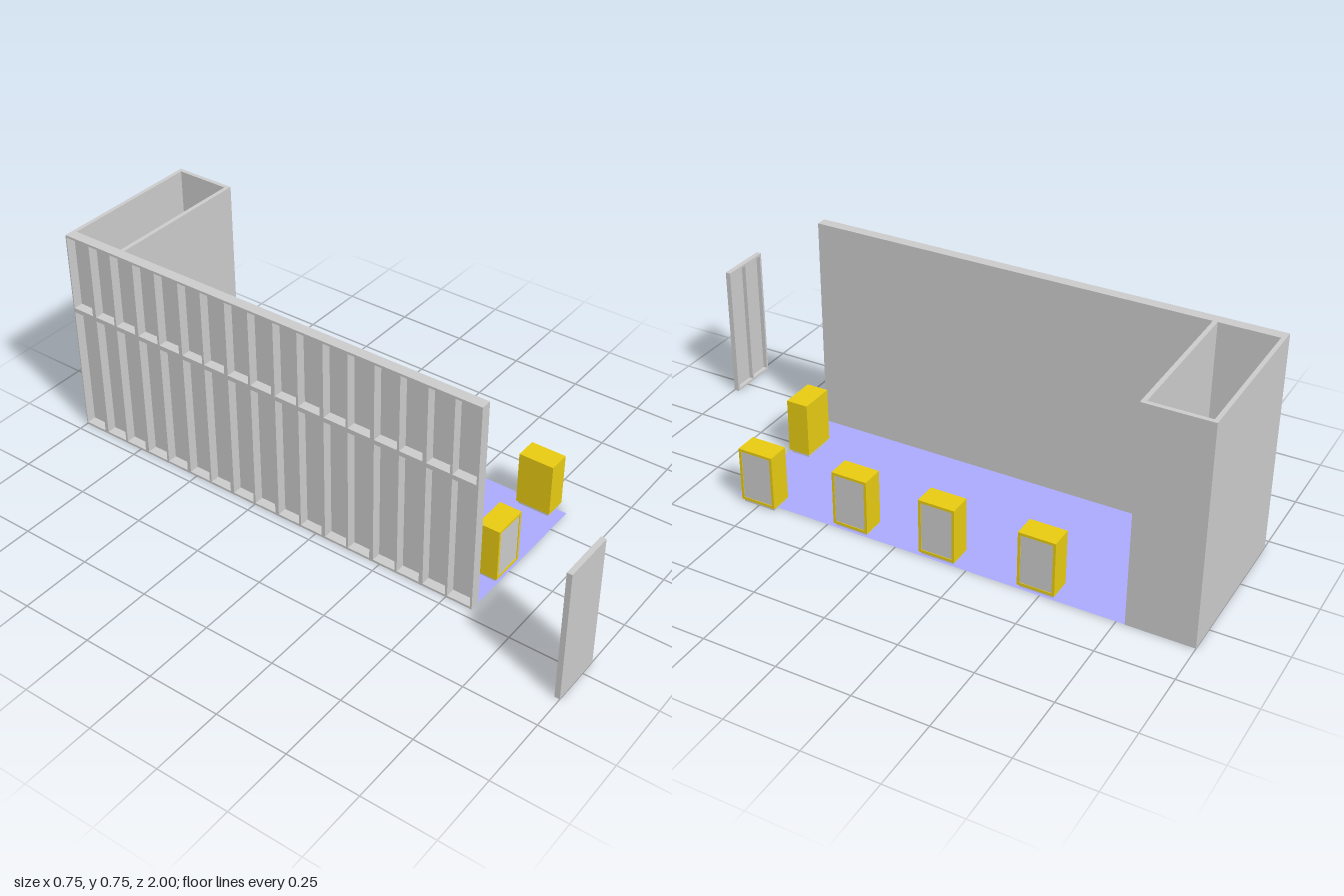
import * as THREE from 'three';

const grey = new THREE.MeshStandardMaterial({ color: 0xcccccc });
const yellow = new THREE.MeshStandardMaterial({ color: 0xe8cc12 });
const blue = new THREE.MeshStandardMaterial({ color: 0xaaaaff, side: THREE.DoubleSide });

// Box given by its limits along each axis
function block(parent, name, [x0, x1], [y0, y1], [z0, z1], material = grey) {
  const mesh = new THREE.Mesh(new THREE.BoxGeometry(x1 - x0, y1 - y0, z1 - z0), material);
  mesh.position.set((x0 + x1) / 2, (y0 + y1) / 2, (z0 + z1) / 2);
  mesh.name = name;
  parent.add(mesh);
  return mesh;
}

function group(parent, name) {
  const g = new THREE.Group();
  g.name = name;
  parent.add(g);
  return g;
}

// Cabinet centred on its footprint, glazed face towards +z
function cabinet(parent, x, z, turn) {
  const g = group(parent, 'cabinet');
  const w = 0.0625, d = 0.039, t = 0.009, y0 = 0.012, y1 = 0.203;
  block(g, 'plinth', [-w + 0.005, w - 0.005], [0, y0], [-d + 0.004, d - 0.007]);
  for (const s of [-1, 1]) {
    const xs = s < 0 ? [-w, -w + t] : [w - t, w];
    block(g, 'side', xs, [y0, y1], [-d, d], yellow);
  }
  block(g, 'bottom', [-w + t, w - t], [y0, y0 + t], [-d, d], yellow);
  block(g, 'top', [-w + t, w - t], [y1 - t, y1], [-d, d], yellow);
  block(g, 'back', [-w + t, w - t], [y0 + t, y1 - t], [-d, -d + 0.004], yellow);
  block(g, 'frontPanel', [-w + t, w - t], [y0 + t, y1 - t], [d - 0.006, d - 0.002]);
  g.position.set(x, 0, z);
  g.rotation.y = turn;
}

export function createModel() {
  const model = new THREE.Group();
  model.name = 'exhibitionRoom';
  const H = 0.755, zBack = -1, zFront = 0.595;

  // Floor sheet
  const floor = new THREE.Mesh(new THREE.PlaneGeometry(0.527, zFront - zBack), blue);
  floor.rotation.x = -Math.PI / 2;
  floor.position.set(0.0845, 0.001, (zFront + zBack) / 2);
  floor.name = 'floor';
  model.add(floor);

  // Long wall: inner sheet with studs and rails on the outside
  const wall = group(model, 'studWall');
  const depth = [-0.215, -0.181];
  block(wall, 'sheet', [-0.181, -0.178], [0, H], [zBack, zFront]);
  const bays = 17, step = (zFront - zBack) / bays;
  for (let i = 0; i <= bays; i++) {
    const half = i % 2 ? 0.004 : 0.007;
    const z = zFront - i * step;
    block(wall, 'stud', depth, [0, H], [Math.max(zBack, z - half), Math.min(zFront, z + half)]);
  }
  for (const [y0, y1] of [[0, 0.008], [0.462, 0.478], [H - 0.008, H]]) {
    block(wall, 'rail', [-0.2148, -0.181], [y0, y1], [zBack, zFront]);
  }

  // Back room: open-topped, with a doorway in its front wall
  const room = group(model, 'backRoom');
  block(room, 'backWall', [-0.178, 0.348], [0, H], [zBack, -0.986]);
  block(room, 'sideWall', [0.333, 0.348], [0, H], [-0.986, -0.793]);
  const face = new THREE.Shape();
  [[-0.178, 0], [0.023, 0], [0.023, 0.378], [0.162, 0.378], [0.162, 0], [0.348, 0], [0.348, H], [-0.178, H]]
    .forEach(([x, y], i) => (i ? face.lineTo(x, y) : face.moveTo(x, y)));
  const front = new THREE.Mesh(new THREE.ExtrudeGeometry(face, { depth: 0.015, bevelEnabled: false }), grey);
  front.position.z = -0.793;
  front.name = 'doorwayWall';
  room.add(front);

  // Door ajar, hinged on the right-hand side of the doorway
  const hinge = group(model, 'door');
  hinge.position.set(0.023, 0, -0.778);
  hinge.rotation.y = -0.27;
  block(hinge, 'doorLeaf', [0, 0.138], [0.005, 0.377], [0, 0.005]);

  // Cabinets: a row along the open side and one at the front edge
  for (const [x, z] of [[0.306, -0.485], [0.306, -0.145], [0.306, 0.166], [0.336, 0.497]]) {
    cabinet(model, x, z, Math.PI / 2);
  }
  cabinet(model, -0.0075, 0.553, 0);

  // Single wall panel standing apart, framed on its back
  const panel = group(model, 'loosePanel');
  const px0 = -0.378, px1 = -0.193, ph = 0.471, pz = [0.982, 0.997];
  block(panel, 'sheet', [px0, px1], [0, ph], [0.997, 1]);
  for (const x of [px0, (px0 + px1) / 2 - 0.004, px1 - 0.008]) {
    block(panel, 'stud', [x, x + 0.008], [0.008, ph - 0.008], pz);
  }
  for (const y of [0, ph - 0.008]) block(panel, 'rail', [px0, px1], [y, y + 0.008], pz);

  return model;
}
